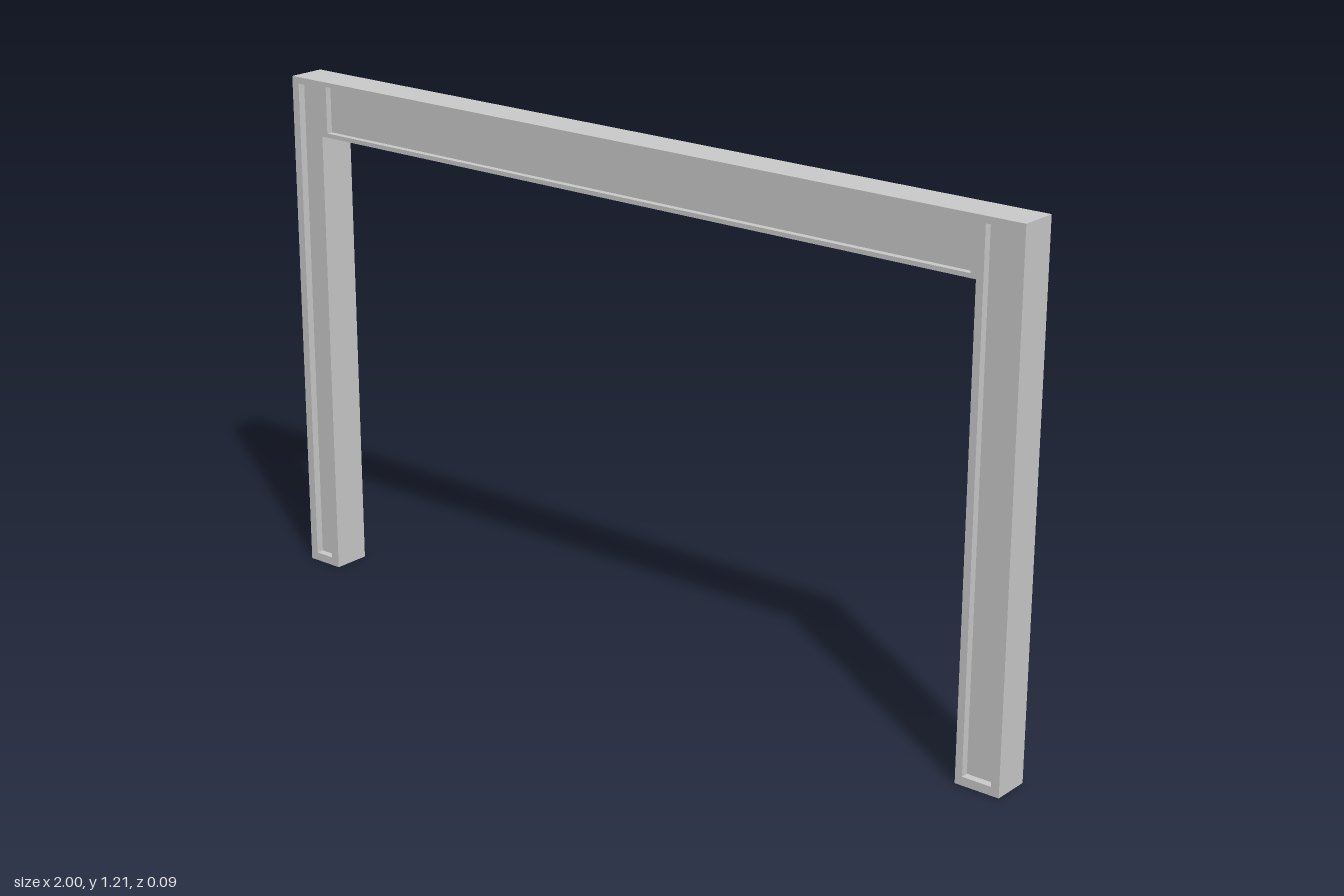
import * as THREE from 'three';

const HEIGHT = 1.21, DEPTH = 0.09;

// Recessed panels, the same on front and back: [name, x0, x1, y0, y1, recess]
const PANELS = [
  ['rightLegPanel', -0.98, -0.93, 0.02, 1.195, 0.018],
  ['leftLegPanel', 0.91, 0.98, 0.02, 1.195, 0.018],
  ['beamPanel', -0.89, 0.88, 1.09, 1.2, 0.015],
];

const points = (list) => list.map(([x, y]) => new THREE.Vector2(x, y));

export function createModel() {
  const group = new THREE.Group();
  group.name = 'portalFrame';
  const material = new THREE.MeshStandardMaterial({ color: 0xcccccc });

  // Two legs and a beam as one outline, with an opening for each panel
  const outline = new THREE.Shape(points([
    [-1, 0], [-0.907, 0], [-0.907, 1.08], [0.893, 1.08],
    [0.893, 0], [1, 0], [1, HEIGHT], [-1, HEIGHT],
  ]));
  for (const [, x0, x1, y0, y1] of PANELS) {
    outline.holes.push(new THREE.Path(points([[x0, y0], [x0, y1], [x1, y1], [x1, y0]])));
  }
  const frameGeometry = new THREE.ExtrudeGeometry(outline, { depth: DEPTH, bevelEnabled: false });
  frameGeometry.translate(0, 0, -DEPTH / 2);
  const frame = new THREE.Mesh(frameGeometry, material);
  frame.name = 'legsAndBeam';
  group.add(frame);

  // Infill slabs set back from both faces
  for (const [name, x0, x1, y0, y1, recess] of PANELS) {
    const panel = new THREE.Mesh(
      new THREE.BoxGeometry(x1 - x0, y1 - y0, DEPTH - 2 * recess), material);
    panel.position.set((x0 + x1) / 2, (y0 + y1) / 2, 0);
    panel.name = name;
    group.add(panel);
  }
  return group;
}
